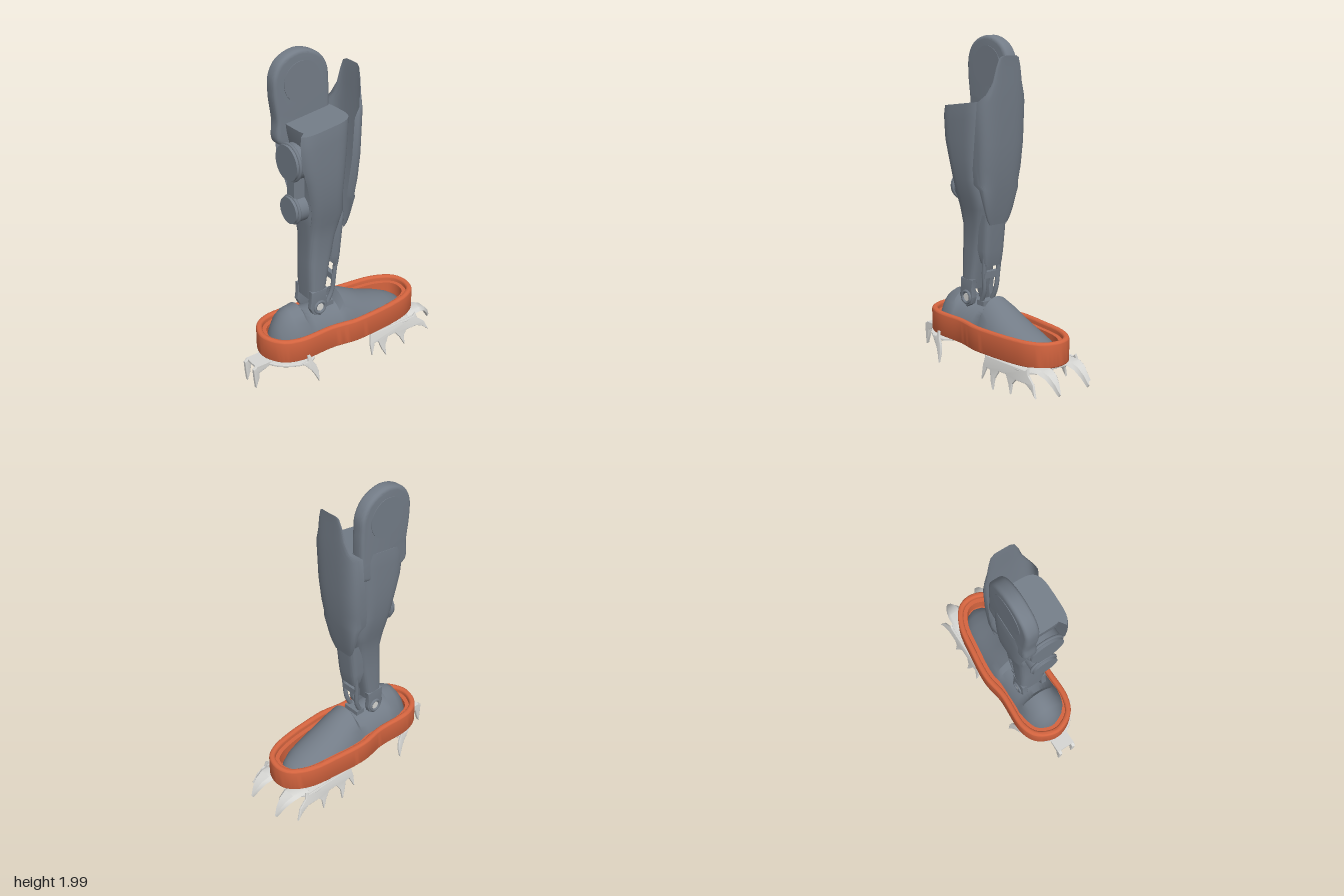
import * as THREE from 'three';
import { toCreasedNormals } from 'three/addons/utils/BufferGeometryUtils.js';

const grey = new THREE.MeshStandardMaterial({ color: 0x737c87, side: THREE.DoubleSide });
grey.name = 'slate grey';
const orange = new THREE.MeshStandardMaterial({ color: 0xd4643f });
orange.name = 'orange';
const steel = new THREE.MeshStandardMaterial({ color: 0xd6d6d3, side: THREE.DoubleSide });
steel.name = 'light steel';

const V = (x, y, z) => new THREE.Vector3(x, y, z);

// Skins a list of rings; closed rings get capped ends and outward winding
function loft(rings, closed = true, crease = 0.6) {
  const n = rings[0].length, pos = rings.flat().flatMap(p => [p.x, p.y, p.z]), tris = [];
  for (let i = 0; i < rings.length - 1; i++)
    for (let j = 0; j < (closed ? n : n - 1); j++) {
      const a = i * n + j, b = i * n + (j + 1) % n;
      tris.push([a, b, a + n], [b, b + n, a + n]);
    }
  if (closed) [0, rings.length - 1].forEach((r, k) => {
    const c = rings[r].reduce((s, p) => s.add(p), V(0, 0, 0)).divideScalar(n);
    const ci = pos.length / 3;
    pos.push(c.x, c.y, c.z);
    for (let j = 0; j < n; j++) {
      const a = r * n + j, b = r * n + (j + 1) % n;
      tris.push(k ? [a, b, ci] : [b, a, ci]);
    }
  });
  const at = i => V(pos[i * 3], pos[i * 3 + 1], pos[i * 3 + 2]);
  let vol = 0;
  if (closed) for (const [a, b, c] of tris) vol += at(a).dot(at(b).cross(at(c)));
  const g = new THREE.BufferGeometry();
  g.setAttribute('position', new THREE.Float32BufferAttribute(pos, 3));
  g.setIndex(tris.flatMap(([a, b, c]) => (vol < 0 ? [a, c, b] : [a, b, c])));
  return toCreasedNormals(g, crease);
}

const pw = (v, p) => Math.sign(v) * Math.abs(v) ** p;

// Wrapped plate that bulges to +x; rows are [y, front x, side x, half width]
const wrapPlate = (rows, p = 0.6) => loft(rows.map(([y, f, s, w]) =>
  Array.from({ length: 25 }, (_, i) => {
    const t = (i / 24 - 0.5) * Math.PI;
    return V(s + (f - s) * pw(Math.cos(t), p), y, w * pw(Math.sin(t), p));
  })), false, 0.5);

// Flat outline in x and y, extruded about z = 0
function slab(points, depth, bevel = 0, smooth = false) {
  const pts = points.map(p => new THREE.Vector2(...p));
  const shape = new THREE.Shape(smooth ? new THREE.CatmullRomCurve3(pts.map(p => V(p.x, p.y, 0)), true)
    .getPoints(90).slice(0, -1).map(p => new THREE.Vector2(p.x, p.y)) : pts);
  const g = new THREE.ExtrudeGeometry(shape, { depth: depth - 2 * bevel, bevelEnabled: bevel > 0,
    bevelSize: bevel, bevelThickness: bevel, bevelOffset: -bevel, bevelSegments: 4 });
  g.translate(0, 0, bevel - depth / 2);
  return toCreasedNormals(g, 0.5);
}

// Sole outline in x and z, inset by a distance
const soleCurve = new THREE.CatmullRomCurve3([
  [0.54, 0], [0.51, 0.1], [0.43, 0.155], [0.3, 0.185], [0.1, 0.2], [0, 0.2], [-0.15, 0.175], [-0.38, 0.17],
  [-0.49, 0.12], [-0.55, -0.01], [-0.5, -0.14], [-0.4, -0.192], [-0.15, -0.19], [0, -0.212], [0.2, -0.195],
  [0.4, -0.16], [0.51, -0.09]].map(([x, z]) => V(x, z, 0)), true);
const outline = inset => Array.from({ length: 96 }, (_, i) => {
  const p = soleCurve.getPointAt(i / 96), t = soleCurve.getTangentAt(i / 96);
  return new THREE.Vector2(p.x - t.y * inset, p.y + t.x * inset);
});
function soleBand(outer, inner, y0, y1, bevel) {
  const s = new THREE.Shape(outline(outer));
  if (inner) s.holes.push(new THREE.Path(outline(inner)));
  const g = new THREE.ExtrudeGeometry(s, { depth: y1 - y0 - 2 * bevel, bevelEnabled: bevel > 0, bevelSize: bevel,
    bevelThickness: bevel, bevelOffset: -bevel, bevelSegments: 4 });
  g.rotateX(Math.PI / 2).translate(0, y1 - bevel, 0);
  return toCreasedNormals(g, 0.6);
}

export function createModel() {
  const model = new THREE.Group();
  const add = (name, geo, mat, x = 0, y = 0, z = 0) => {
    const m = new THREE.Mesh(geo, mat);
    m.name = name;
    m.position.set(x, y, z);
    model.add(m);
    return m;
  };
  const box = (x, y, z) => new THREE.BoxGeometry(x, y, z);

  // Orange overshoe: floor, rim, inner ledge and tread
  add('overshoeRim', soleBand(0, 0.036, 0.182, 0.332, 0.014), orange);
  add('overshoeFloor', soleBand(0.012, 0, 0.184, 0.215, 0), orange);
  add('overshoeLedge', soleBand(0.03, 0.062, 0.2, 0.3, 0), orange);
  for (let i = 0; i < 24; i++) add('treadBar', box(0.012, 0.014, 0.3), orange, -0.3 + i * 0.025, 0.178, -0.005);

  // Foot shell: [x, half width, top]
  const foot = [[-0.492, 0.02, 0.23], [-0.47, 0.075, 0.33], [-0.45, 0.1, 0.37], [-0.41, 0.13, 0.43], [-0.37, 0.145, 0.455],
    [-0.3, 0.155, 0.462], [-0.28, 0.156, 0.43], [-0.24, 0.156, 0.418], [-0.1, 0.156, 0.405], [-0.05, 0.157, 0.41],
    [-0.02, 0.158, 0.47], [0.05, 0.162, 0.44], [0.12, 0.163, 0.4], [0.2, 0.16, 0.36], [0.26, 0.153, 0.335],
    [0.34, 0.135, 0.305], [0.41, 0.1, 0.272], [0.455, 0.06, 0.24], [0.472, 0.015, 0.215]];
  add('footShell', loft(foot.map(([x, w, h]) => Array.from({ length: 25 }, (_, i) => {
    const t = i / 24 * Math.PI;
    return V(x, 0.2 + (h - 0.2) * Math.sin(t), -0.003 + w * Math.cos(t));
  })), true, 0.7), grey);

  // Calf body: [y, back x, front x, half width, depth of the hollow in the back]
  const calf = [[0.5, -0.248, -0.145, 0.086, 0], [0.6, -0.25, -0.125, 0.086, 0], [0.75, -0.25, -0.095, 0.086, 0],
    [0.9, -0.245, -0.06, 0.092, 0], [1.0, -0.255, -0.035, 0.112, 0], [1.06, -0.265, -0.02, 0.128, 0.01],
    [1.18, -0.285, -0.035, 0.15, 0.05], [1.3, -0.315, -0.025, 0.16, 0.06], [1.4, -0.345, -0.015, 0.163, 0.08],
    [1.52, -0.356, -0.003, 0.163, 0.07], [1.57, -0.357, 0, 0.162, 0.06], [1.615, -0.352, 0.003, 0.158, 0.05]];
  add('calfShell', loft(calf.map(([y, b, f, w, notch]) => Array.from({ length: 48 }, (_, i) => {
    const t = i / 48 * Math.PI * 2, c = pw(Math.cos(t), 0.5), s = pw(Math.sin(t), 0.5);
    let x = (b + f) / 2 + c * (f - b) / 2;
    if (c < 0 && Math.abs(s) < 0.72) x += notch;
    return V(x, y + (y > 1.5 ? 0.025 * (x + 0.18) / 0.18 : 0), w * s);
  })), true, 0.7), grey);

  // Knee plate on the far side with a round inset on both faces
  add('kneePlate', slab([[-0.34, 1.48], [-0.35, 1.62], [-0.368, 1.77], [-0.362, 1.88], [-0.31, 1.96], [-0.19, 2],
    [-0.07, 1.96], [-0.012, 1.88], [0, 1.77], [0, 1.62], [-0.005, 1.48]], 0.085, 0.022, true), grey, 0, 0, -0.1125);
  for (const z of [-0.07, -0.155])
    add('kneeDisc', new THREE.CylinderGeometry(0.12, 0.12, 0.006, 40).rotateX(Math.PI / 2), grey, -0.185, 1.82, z);

  // Shin guard and the smaller cover below it
  add('shinGuard', wrapPlate([[1.897, 0.1, 0.097, 0.05], [1.885, 0.099, 0.092, 0.072], [1.83, 0.097, 0.085, 0.09],
    [1.75, 0.095, 0.075, 0.106], [1.68, 0.093, 0.05, 0.135], [1.635, 0.091, 0, 0.16], [1.4, 0.08, -0.02, 0.164],
    [1.25, 0.065, -0.04, 0.16], [1.16, 0.052, -0.045, 0.148], [1.13, 0.047, -0.005, 0.14], [1.0, 0.024, 0.0, 0.104],
    [0.95, 0.012, -0.002, 0.086], [0.915, 0.004, -0.004, 0.065]]), grey);
  add('lowerShinCover', wrapPlate([[0.97, 0.0, -0.06, 0.08], [0.9, -0.008, -0.085, 0.08], [0.75, -0.022, -0.1, 0.076],
    [0.68, -0.034, -0.08, 0.07], [0.655, -0.04, -0.05, 0.055]], 0.4), grey);

  // Rear motor housings
  for (const [y, r, x] of [[1.105, 0.08, -0.3], [1.4, 0.105, -0.305]]) {
    add('motor', new THREE.CylinderGeometry(r, r, 0.09, 40).rotateZ(Math.PI / 2), grey, x, y, 0);
    add('motorCollar', new THREE.TorusGeometry(r, 0.01, 8, 40).rotateY(Math.PI / 2), grey, x - 0.02, y, 0);
  }
  add('motorBridge', box(0.07, 0.16, 0.07), grey, -0.29, 1.25, 0);

  for (const s of [1, -1]) {
    // Ankle fork, pivot and front strut
    add('ankleFork', slab([[-0.248, 0.56], [-0.25, 0.5], [-0.258, 0.45], [-0.24, 0.41], [-0.19, 0.385], [-0.15, 0.41],
      [-0.137, 0.45], [-0.145, 0.5], [-0.135, 0.56]], 0.035, 0.005), grey, 0, 0, s * 0.069);
    add('anklePivot', new THREE.TorusGeometry(0.036, 0.009, 10, 32), grey, -0.192, 0.445, s * 0.088);
    add('anklePin', new THREE.CylinderGeometry(0.024, 0.024, 0.02, 24).rotateX(Math.PI / 2), steel, -0.192, 0.445, s * 0.08);
    add('frontStrut', new THREE.TubeGeometry(new THREE.CatmullRomCurve3([V(-0.015, 1.02, s * 0.06), V(-0.045, 0.8, s * 0.06),
      V(-0.065, 0.62, s * 0.055), V(-0.075, 0.5, s * 0.045), V(-0.11, 0.42, s * 0.04)]), 24, 0.014, 10), grey);

    // Crampon side flanges, spikes splayed outward
    const flange = (name, pts) => {
      const m = add(name, slab(pts.map(([x, y]) => [x, y - 0.18]), 0.014, 0.003), steel, 0, 0.18, s * 0.188);
      m.rotation.x = -s * 0.2;
    };
    flange('frontSpikes', [[0.11, 0.18], [0.1, 0.12], [0.105, 0.04], [0.135, 0.115], [0.165, 0.11], [0.185, 0.05], [0.21, 0.003],
      [0.212, 0.07], [0.24, 0.12], [0.3, 0.12], [0.33, 0.08], [0.36, 0.02], [0.362, 0.08], [0.385, 0.11], [0.47, 0.11],
      [0.52, 0.085], [0.56, 0.05], [0.53, 0.12], [0.48, 0.16], [0.47, 0.2], [0.45, 0.18]]);
    flange('heelSideSpikes', [[-0.4, 0.18], [-0.37, 0.15], [-0.34, 0.115], [-0.32, 0.08], [-0.297, 0.028], [-0.292, 0.09],
      [-0.305, 0.14], [-0.325, 0.17], [-0.335, 0.215], [-0.352, 0.215], [-0.355, 0.18]]);
    add('heelSpike', slab([[-0.52, 0.178], [-0.63, 0.178], [-0.65, 0.165], [-0.645, 0.09], [-0.638, 0.03], [-0.615, 0.09],
      [-0.61, 0.13], [-0.52, 0.16]], 0.022, 0.004), steel, 0, 0, s * 0.048);

    // Curved toe prong: [x, y, half width]
    add('toeProng', loft([[0.43, 0.18, 0.06], [0.53, 0.184, 0.058], [0.58, 0.164, 0.045], [0.62, 0.12, 0.026], [0.645, 0.07, 0.004]]
      .map(([x, y, w]) => [[-1, -1], [1, -1], [0.6, 1], [-0.6, 1]].map(([a, b]) =>
        V(x + b * 0.006, y + b * 0.008, s * 0.112 + a * w)))), steel);
    add('middleSpike', slab([[-0.08, 0.16], [-0.068, 0.07], [-0.058, 0.16]], 0.02), steel, 0, 0, s * 0.035);
    add('cramponRail', box(0.46, 0.012, 0.02), steel, -0.1, 0.156, s * 0.04);
  }
  add('strutFoot', box(0.06, 0.03, 0.11), grey, -0.1, 0.42, 0);
  add('strutCrossbar', box(0.03, 0.04, 0.12), grey, -0.068, 0.6, 0);

  // Crampon plates beneath toe and heel
  const plate = pts => slab(pts, 0.014, 0.003, true).rotateX(Math.PI / 2);
  add('frontCramponPlate', plate([[0.07, 0.06], [0.14, 0.16], [0.28, 0.19], [0.46, 0.185], [0.51, 0.1], [0.5, 0],
    [0.51, -0.1], [0.46, -0.185], [0.28, -0.19], [0.14, -0.16], [0.07, -0.06]]), steel, 0, 0.168, 0);
  add('heelCramponPlate', plate([[-0.26, 0.1], [-0.31, 0.18], [-0.4, 0.18], [-0.52, 0.1], [-0.56, 0],
    [-0.52, -0.1], [-0.4, -0.18], [-0.31, -0.18], [-0.26, -0.1]]), steel, 0, 0.166, 0);
  add('heelBracket', box(0.1, 0.014, 0.12), steel, -0.58, 0.172, 0);
  add('cramponCentre', box(0.1, 0.014, 0.12), steel, -0.05, 0.15, 0);
  return model;
}
